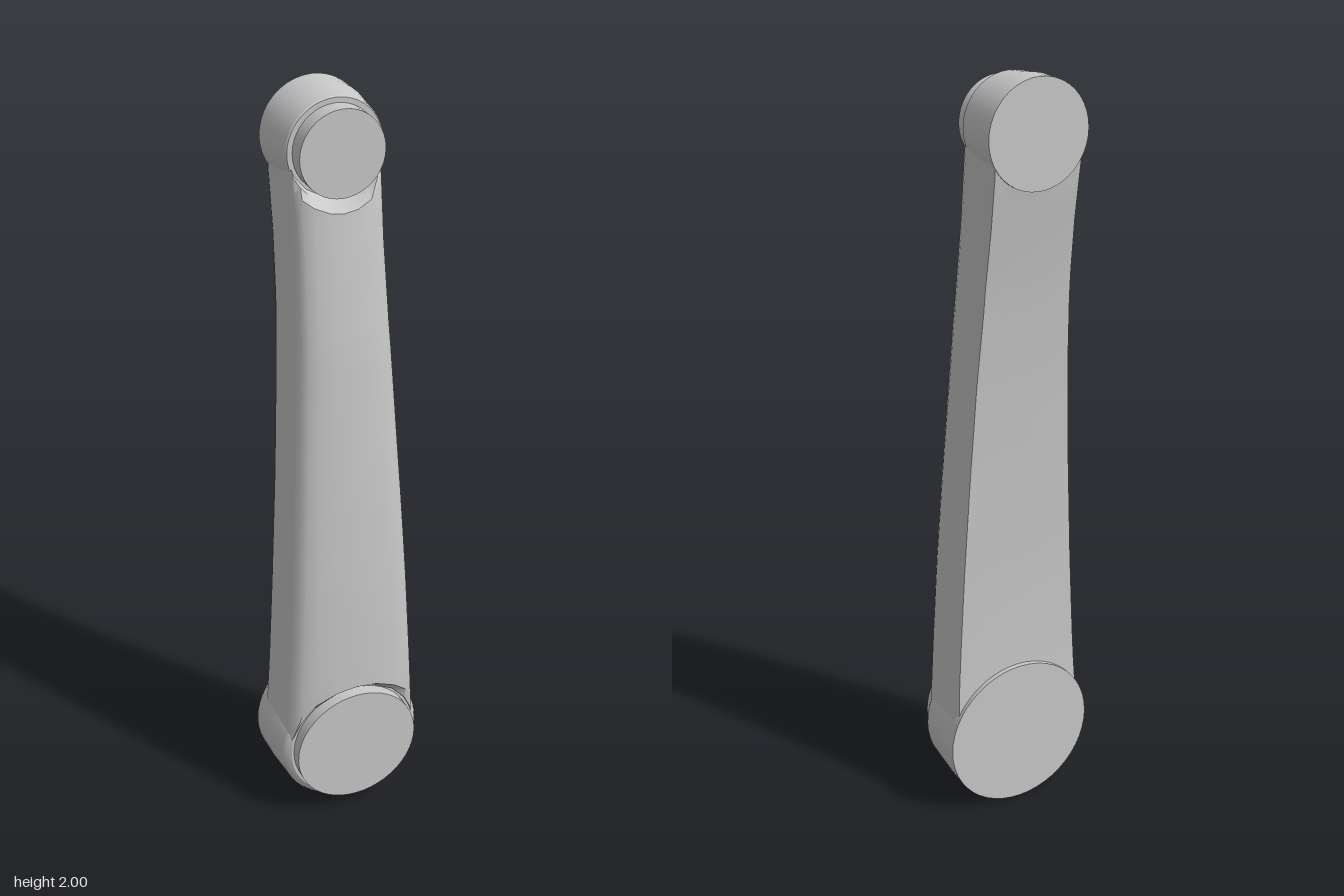
import * as THREE from 'three';
import { toCreasedNormals } from 'three/addons/utils/BufferGeometryUtils.js';

const metal = new THREE.MeshStandardMaterial({ color: 0xc8c8c8 });
metal.name = 'light grey metal';

const LOW = 0.208, HIGH = 1.867; // heights of the two hub centres

// Linear lookup in a list of [key, value] pairs
function lookup(list, k) {
  if (k <= list[0][0]) return list[0][1];
  for (let i = 1; i < list.length; i++) {
    const [a, va] = list[i - 1], [b, vb] = list[i];
    if (k <= b) return va + (vb - va) * (k - a) / (b - a);
  }
  return list[list.length - 1][1];
}

// Arm outline by height: half width, front face and back face
const width = [[0.35, 0.195], [0.6, 0.177], [1, 0.149], [1.4, 0.126], [1.6, 0.12], [1.75, 0.121]];
const front = [[0.3, 0.147], [0.45, 0.146], [0.7, 0.14], [1, 0.124], [1.4, 0.093], [1.73, 0.052], [1.85, 0.035]];
const back = [[0.3, -0.06], [0.42, -0.055], [0.7, -0.057], [1, -0.066], [1.25, -0.079], [1.5, -0.103], [1.7, -0.132], [1.78, -0.146]];

// Half section: [share of half width, depth behind front] or from the back
const halfFront = [[0, 0], [0.3, 0.002], [0.6, 0.008], [0.8, 0.018], [0.91, 0.032], [0.96, 0.05]];
const halfBack = [[1, 0.022], [0.95, 0.001], [0.5, 0]];

// Closed loop of section points, right side mirrored from the left
const half = [
  ...halfFront.map(([f, d]) => ({ f, d, isFront: true })),
  ...halfBack.map(([f, d]) => ({ f, d, isFront: false })),
];
const section = [
  ...half,
  { f: 0, d: 0, isFront: false },
  ...half.slice(1).reverse().map((p) => ({ ...p, f: -p.f })),
];

// Arm lofted between arcs that hug the two hubs
function armGeometry() {
  const rows = [{ t: 0, rb: 0.178, rt: 0.14, zMax: 0.1 }, { t: 0, rb: 0.184, rt: 0.14, zMax: 0.118 }];
  for (let i = 0; i <= 20; i++) rows.push({ t: i / 20, rb: 0.205, rt: 0.14, zMax: 1 });
  rows.push({ t: 1, rb: 0.205, rt: 0.122, zMax: 0.02 }, { t: 1, rb: 0.205, rt: 0.112, zMax: -0.015 });
  const pos = [], index = [], n = section.length;
  const arc = (r, x) => Math.sqrt(Math.max(0, r * r - x * x));
  rows.forEach(({ t, rb, rt, zMax }, i) => {
    const mid = (LOW + rb) * (1 - t) + (HIGH - rt) * t;
    const w = lookup(width, mid);
    section.forEach(({ f, d, isFront }, j) => {
      const x = f * w;
      const y = (LOW + arc(rb, x)) * (1 - t) + (HIGH - arc(rt, x)) * t;
      const z = isFront ? Math.min(lookup(front, y) - d, zMax) : lookup(back, y) + d;
      pos.push(x, y, z);
      if (i > 0) {
        const k = (j + 1) % n;
        const a = (i - 1) * n + j, b = (i - 1) * n + k, c = i * n + k, e = i * n + j;
        index.push(a, b, c, a, c, e);
      }
    });
  });
  const g = new THREE.BufferGeometry();
  g.setAttribute('position', new THREE.Float32BufferAttribute(pos, 3));
  g.setIndex(index);
  return toCreasedNormals(g, 0.6);
}

// Turned part along z from [radius, z] points, back to front
function turned(name, profile, y, sides) {
  const points = profile.map(([r, z]) => new THREE.Vector2(r, z));
  const g = toCreasedNormals(new THREE.LatheGeometry(points, sides), 0.5);
  const mesh = new THREE.Mesh(g, metal);
  mesh.name = name;
  mesh.rotation.x = Math.PI / 2;
  mesh.position.y = y;
  return mesh;
}

export function createModel() {
  const group = new THREE.Group();
  group.name = 'leverArm';

  const arm = new THREE.Mesh(armGeometry(), metal);
  arm.name = 'taperedArm';
  group.add(arm);

  // Large lower hub and its raised disc
  group.add(turned('lowerHub',
    [[0, -0.07], [0.208, -0.07], [0.206, 0], [0.198, 0.094], [0.192, 0.104], [0.178, 0.113], [0, 0.113]], LOW, 48));
  group.add(turned('lowerDisc', [[0, 0.1], [0.172, 0.1], [0.172, 0.147], [0, 0.147]], 0.213, 48));

  // Small upper hub and its raised disc
  group.add(turned('upperHub',
    [[0, -0.148], [0.133, -0.148], [0.133, -0.09], [0.123, -0.008], [0.12, -0.004], [0, -0.004]], HIGH, 40));
  group.add(turned('upperDisc', [[0, -0.02], [0.107, -0.02], [0.107, 0.042], [0, 0.042]], HIGH, 40));

  return group;
}
